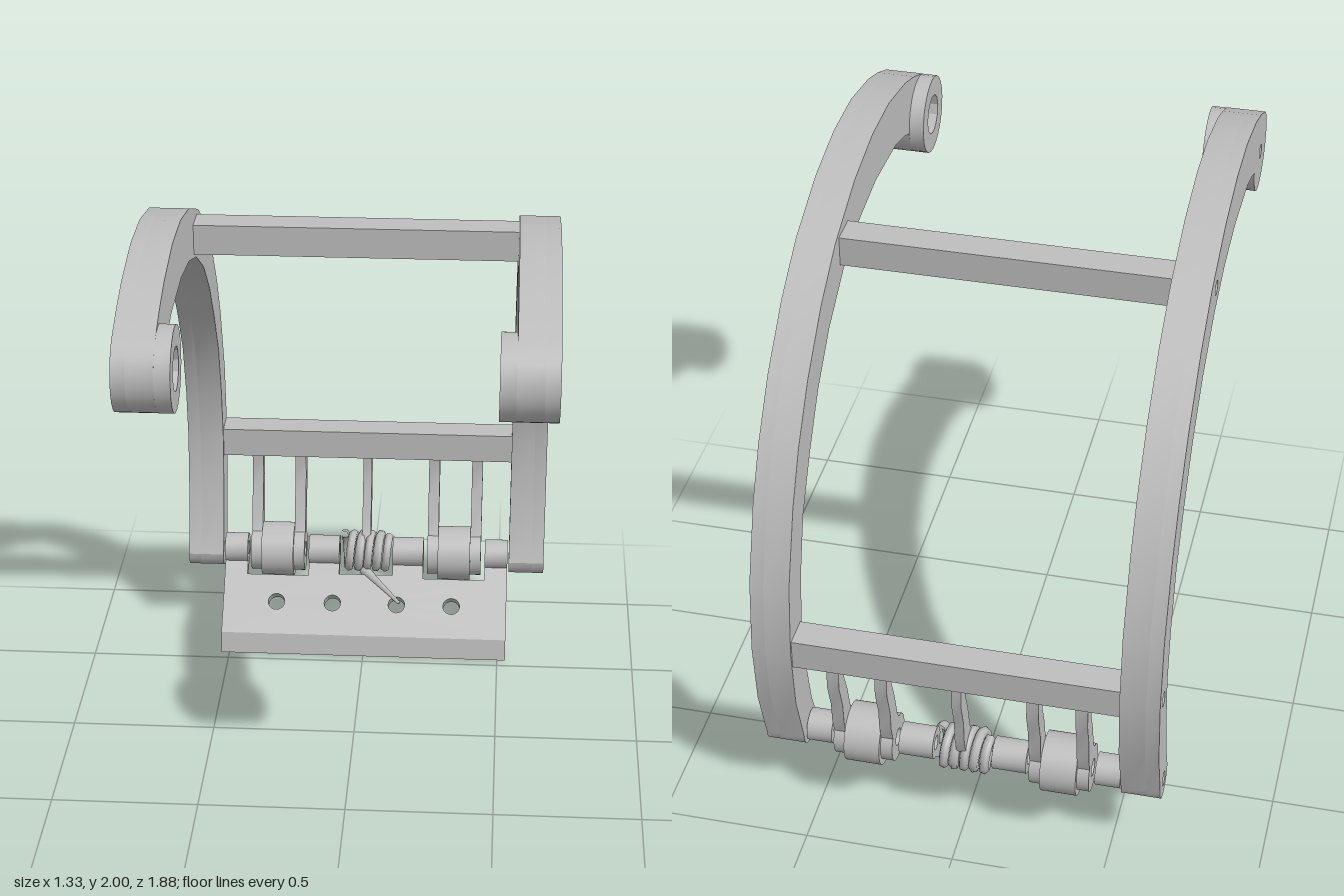
import * as THREE from 'three';
import { toCreasedNormals } from 'three/addons/utils/BufferGeometryUtils.js';

const PIVOT = [-0.79, 0.315]; // z, y of the hinge axis
const TIP = [0.81, 1.75]; // z, y of the front eye

export function createModel() {
  const model = new THREE.Group();
  const grey = new THREE.MeshStandardMaterial({ color: 0xbebebe });
  grey.name = 'plain grey';

  const add = (name, geometry, parent = model) => {
    const mesh = new THREE.Mesh(geometry, grey);
    mesh.name = name;
    parent.add(mesh);
    return mesh;
  };
  const polygon = (points) => new THREE.Shape(points.map(([a, b]) => new THREE.Vector2(a, b)));
  const circle = ([z, y], r) => new THREE.Path().absarc(z, y, r, 0, Math.PI * 2, true);
  // Points on an arc, both ends included
  const arc = ([z, y], r, a0, a1, n) => Array.from({ length: n + 1 }, (_, i) => {
    const a = a0 + ((a1 - a0) * i) / n;
    return [z + r * Math.cos(a), y + r * Math.sin(a)];
  });

  // Extrudes a (z, y) side profile across x
  const across = (shape, x0, x1, curveSegments = 10) => {
    const g = new THREE.ExtrudeGeometry(shape, { depth: x1 - x0, bevelEnabled: false, curveSegments });
    return toCreasedNormals(g.rotateY(-Math.PI / 2).translate(x1, 0, 0), 0.5);
  };
  const ring = (center, r, hole, x0, x1, segments) => {
    const s = new THREE.Shape().absarc(center[0], center[1], r, 0, Math.PI * 2, false);
    s.holes.push(circle(center, hole));
    return across(s, x0, x1, segments);
  };

  // Curved arm profile: outer edge to the hinge, round end, inner edge back, round eye
  const outer = [[0.87, 1.872], [0.76, 1.92], [0.64, 1.96], [0.43, 2], [0.22, 2], [0, 1.96], [-0.24, 1.87],
    [-0.42, 1.755], [-0.6, 1.59], [-0.73, 1.42], [-0.82, 1.255], [-0.91, 1], [-0.938, 0.75], [-0.918, 0.52]];
  const inner = [[-0.755, 0.4], [-0.79, 0.57], [-0.81, 0.76], [-0.785, 0.955], [-0.725, 1.155],
    [-0.62, 1.325], [-0.5, 1.485], [-0.35, 1.62], [-0.16, 1.73], [0.03, 1.79], [0.24, 1.815], [0.5, 1.8],
    [0.61, 1.77], [0.67, 1.745]];
  const armShape = (eyeHole) => {
    const s = polygon([...outer, ...arc(PIVOT, 0.067, Math.PI, Math.PI * 2, 10), ...inner,
      ...arc(TIP, 0.135, 3.4, 7.2, 16)]);
    s.holes.push(circle(PIVOT, 0.025), circle([-0.14, 1.813], 0.025), circle([-0.87, 0.737], 0.025), circle(TIP, eyeHole));
    return s;
  };

  // Arms: outer layer with a small eye hole, inner layer and boss with a hexagonal bore
  const eye = polygon(arc(TIP, 0.135, 0, Math.PI * 2 * (23 / 24), 23));
  eye.holes.push(circle(TIP, 0.07));
  for (const side of [-1, 1]) {
    const arm = new THREE.Group();
    arm.name = side > 0 ? 'leftArm' : 'rightArm';
    model.add(arm);
    const span = (a, b) => (side > 0 ? [a, b] : [-b, -a]);
    add('armOuterLayer', across(armShape(0.025), ...span(0.62, 0.665)), arm);
    add('armInnerLayer', across(armShape(0.07), ...span(0.535, 0.62), 6), arm);
    add('eyeBoss', across(eye, ...span(0.485, 0.535), 6), arm);
  }

  // Cross bars between the arms
  add('upperCrossBar', new THREE.BoxGeometry(1.07, 0.102, 0.105).translate(0, 1.815, -0.148));
  add('lowerCrossBar', new THREE.BoxGeometry(1.07, 0.105, 0.105).translate(0, 0.737, -0.873));

  // Struts hanging from the lower bar to the hinge line
  const strut = polygon([[-0.9, 0.7], [-0.905, 0.6], [-0.875, 0.5], [-0.87, 0.42], [-0.85, 0.35],
    [-0.76, 0.37], [-0.79, 0.42], [-0.815, 0.52], [-0.845, 0.6], [-0.84, 0.7]]);
  for (const x of [-0.41, -0.25, 0, 0.25, 0.41]) {
    const w = x === 0 ? 0.016 : 0.02;
    add('strut', across(strut, x - w, x + w));
    add('strutEye', ring(PIVOT, x === 0 ? 0.06 : 0.08, 0.03, x - w, x + w, 18));
  }

  // Rollers between the strut pairs
  for (const x of [-0.33, 0.33]) add('roller', ring(PIVOT, 0.1, 0.03, x - 0.06, x + 0.06, 28));

  // Hollow hinge barrels
  for (const [a, b] of [[-0.53, -0.445], [-0.215, -0.1], [0.1, 0.215], [0.445, 0.53]]) {
    add('hingeBarrel', ring(PIVOT, 0.055, 0.025, a, b, 10));
  }

  // Flap: notched plate with four holes and a chamfered lower edge
  const flap = polygon([[-0.53, -0.4], [0.53, -0.4], [0.53, -0.035], [0.445, -0.035], [0.445, -0.105],
    [0.215, -0.105], [0.215, -0.035], [0.1, -0.035], [0.1, -0.095], [-0.1, -0.095], [-0.1, -0.035],
    [-0.215, -0.035], [-0.215, -0.105], [-0.445, -0.105], [-0.445, -0.035], [-0.53, -0.035]]);
  for (const x of [-0.33, -0.12, 0.12, 0.325]) flap.holes.push(circle([x, -0.21], 0.031));
  const flapGeometry = new THREE.ExtrudeGeometry(flap, { depth: 0.045, bevelEnabled: false, curveSegments: 10 });
  flapGeometry.translate(0, 0, -0.045);
  const pos = flapGeometry.attributes.position;
  for (let i = 0; i < pos.count; i++) {
    if (pos.getY(i) < -0.39 && pos.getZ(i) > -0.01) pos.setY(i, -0.335);
  }
  flapGeometry.computeVertexNormals();
  flapGeometry.rotateX(-Math.PI / 4).translate(0, PIVOT[1], PIVOT[0]);
  add('flap', flapGeometry);

  // Torsion spring with one leg resting on the flap
  const coil = [];
  for (let i = 0; i <= 60; i++) {
    const a = (i / 60) * Math.PI * 10 + Math.PI / 2;
    coil.push(new THREE.Vector3(-0.085 + 0.17 * (i / 60), PIVOT[1] + 0.062 * Math.sin(a), PIVOT[0] + 0.062 * Math.cos(a)));
  }
  add('springCoil', new THREE.TubeGeometry(new THREE.CatmullRomCurve3(coil), 120, 0.017, 6));
  const from = new THREE.Vector3(-0.01, 0.26, -0.745);
  const to = new THREE.Vector3(0.13, 0.17, -0.648);
  const springLeg = add('springLeg', new THREE.CylinderGeometry(0.006, 0.02, from.distanceTo(to), 6));
  springLeg.position.copy(from).lerp(to, 0.5);
  springLeg.quaternion.setFromUnitVectors(new THREE.Vector3(0, 1, 0), to.clone().sub(from).normalize());

  return model;
}
